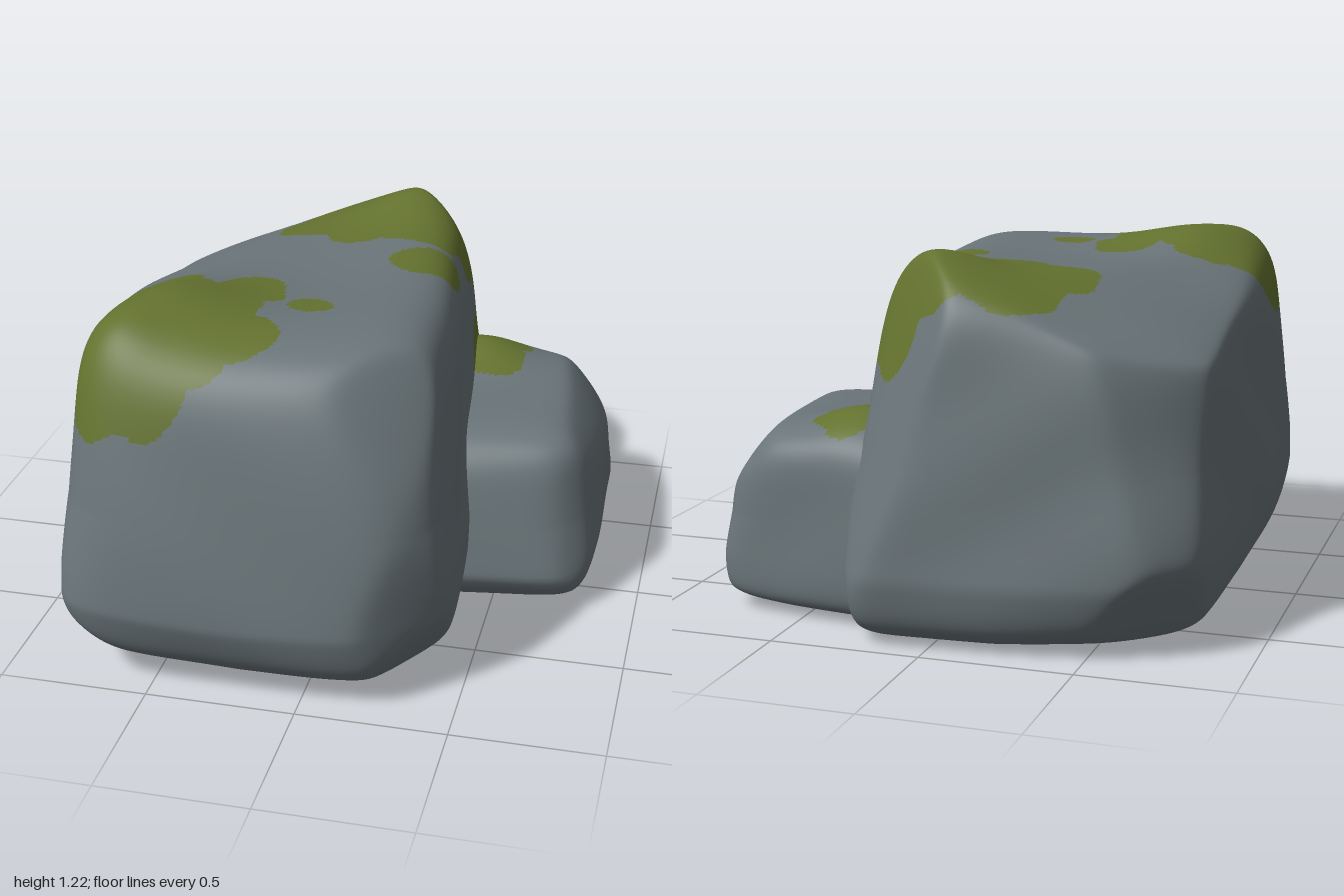
import * as THREE from 'three';
import { mergeVertices } from 'three/addons/utils/BufferGeometryUtils.js';

const stone = new THREE.MeshStandardMaterial({ color: 0x6a7579 });
stone.name = 'stone grey';
const moss = new THREE.MeshStandardMaterial({ color: 0x64722f });
moss.name = 'moss green';

const mix = (a, b, t) => a + (b - a) * t;
const bump = (x, z, cx, cz, r) => Math.exp(-((x - cx) ** 2 + (z - cz) ** 2) / (r * r));

// Moss patches as overlapping spheres: x, y, z, radius
const patches = [
  // front left shoulder
  [-0.6, 1.12, 0.5, 0.3], [-0.64, 1.0, 0.72, 0.21], [-0.52, 1.0, 0.78, 0.17],
  [-0.42, 1.08, 0.7, 0.16], [-0.4, 1.16, 0.45, 0.17], [-0.32, 1.14, 0.27, 0.13],
  [-0.26, 1.11, 0.62, 0.13], [-0.6, 1.14, 0.25, 0.1], [-0.09, 1.14, 0.35, 0.065],
  // back right shoulder
  [0.05, 1.18, -0.64, 0.24], [-0.18, 1.15, -0.66, 0.2], [0.22, 1.02, -0.7, 0.2],
  [0.26, 1.08, -0.52, 0.14], [0, 1.16, -0.48, 0.18], [-0.28, 1.12, -0.44, 0.14],
  [-0.1, 1.14, -0.32, 0.09], [0.14, 1.15, -0.42, 0.14],
  [0.18, 1.14, -0.14, 0.12], [0.28, 1.11, -0.16, 0.1],
  // hollow between the two stones
  [0.37, 0.68, -0.48, 0.13], [0.37, 0.68, -0.62, 0.13],
];

function isMossy(p) {
  const wobble = 0.01 * (Math.sin(p.x * 31 + p.z * 9) + Math.sin(p.z * 27 + p.y * 23));
  return patches.some(([x, y, z, r]) => Math.hypot(p.x - x, p.y - y, p.z - z) + wobble < r);
}

// Rounded block, moved point by point with shape(), then worn down along soft planes
function makeRock(name, segments, roundness, shape, planes) {
  let geo = new THREE.BoxGeometry(2, 2, 2, ...segments);
  geo.deleteAttribute('normal');
  geo.deleteAttribute('uv');
  geo = mergeVertices(geo, 1e-4);
  const pos = geo.attributes.position;
  const p = new THREE.Vector3();
  for (let i = 0; i < pos.count; i++) {
    p.fromBufferAttribute(pos, i);
    // the underside keeps a tighter edge than the top
    const power = p.y < 0 ? roundness * (1 - 0.6 * p.y) : roundness;
    const k = [p.x, p.y, p.z].reduce((sum, v) => sum + Math.abs(v) ** power, 0);
    p.multiplyScalar(k ** (-1 / power));
    shape(p);
    for (const [nx, ny, nz, d] of planes) {
      const n = new THREE.Vector3(nx, ny, nz).normalize();
      const over = p.dot(n) - d;
      p.addScaledVector(n, -0.46 * (over + Math.sqrt(over * over + 0.0008)));
    }
    // gentle weathering
    const wave = 0.007 * Math.sin(p.x * 8 + p.y * 5) * Math.sin(p.z * 7 + p.y * 6 + 1);
    p.x += wave;
    p.z += wave;
    p.y = Math.max(0, p.y);
    pos.setXYZ(i, p.x, p.y, p.z);
  }

  // Sort the faces into stone and moss
  const plain = [], mossy = [];
  const centre = new THREE.Vector3();
  for (let i = 0; i < geo.index.count; i += 3) {
    const face = [0, 1, 2].map((j) => geo.index.getX(i + j));
    centre.set(0, 0, 0);
    face.forEach((v) => centre.add(p.fromBufferAttribute(pos, v)));
    (isMossy(centre.divideScalar(3)) ? mossy : plain).push(...face);
  }
  geo.setIndex(plain.concat(mossy));
  geo.clearGroups();
  geo.addGroup(0, plain.length, 0);
  geo.addGroup(plain.length, mossy.length, 1);
  geo.computeVertexNormals();
  const mesh = new THREE.Mesh(geo, [stone, moss]);
  mesh.name = name;
  return mesh;
}

// Large stone: leans in towards the top, narrower at the back right
function shapeBoulder(p) {
  const u = (p.x + 1) / 2, s = (p.y + 1) / 2, w = (p.z + 1) / 2;
  const lean = Math.max(0, s - 0.3) / 0.7;
  const tilt = Math.max(0, s - 0.18) / 0.82;
  const foot = Math.max(0, 0.2 - s);
  const left = -0.845 + 0.04 * lean + 0.08 * foot;
  const right = mix(0.3, 0.485, w) - 0.08 * lean - 0.12 * foot;
  const back = mix(-0.9, -1.03, u) + 0.12 * tilt + 0.15 * foot;
  const front = 1.015 - 0.21 * tilt ** 1.3 - 0.25 * foot - 0.2 * (u - 0.38) ** 2;
  const x = mix(left, right, u), z = mix(back, front, w);
  const top = 1.125 + 0.045 * u + 0.07 * bump(x, z, -0.55, 0.48, 0.26)
    + 0.05 * bump(x, z, -0.68, 0.7, 0.15)
    + 0.08 * bump(x, z, 0.06, -0.68, 0.22) - 0.02 * bump(x, z, -0.1, 0.05, 0.35);
  const bottom = 0.05 * Math.max(0, z) + 0.05 * Math.max(0, -x - 0.2);
  p.set(x, mix(bottom, top, s), z);
}

// Small stone leaning against the large one
function shapeSideStone(p) {
  const u = (p.x + 1) / 2, s = (p.y + 1) / 2, w = (p.z + 1) / 2;
  const right = 0.84 - 0.05 * Math.max(0, s - 0.3) - 0.1 * Math.max(0, 0.25 - s);
  const back = mix(-0.86, -0.74, u) + 0.03 * s;
  const front = mix(0.31, 0.22, u) - 0.13 * Math.max(0, s - 0.2) - 0.2 * Math.max(0, 0.2 - s);
  const x = mix(0.05, right, u), z = mix(back, front, w);
  const top = 0.625 + 0.06 * bump(x, z, 0.34, -0.56, 0.16);
  p.set(x, mix(0.015, top, s), z);
}

export function createModel() {
  const group = new THREE.Group();
  group.name = 'mossyRocks';
  group.add(
    makeRock('largeStone', [80, 74, 104], 7, shapeBoulder, [
      [0.64, 0, 0.77, 0.88],       // front right edge
      [0.5, 0.5, 0.7, 1.12],       // front right shoulder
      [0.69, -0.58, 0.44, 0.49],   // front right foot
      [-0.59, -0.76, 0.28, 0.56],  // front left foot
      [-0.6, -0.5, -0.6, 0.825],   // back left foot
      [-0.67, 0.25, -0.67, 1.17],  // back left edge
      [-0.4, 0.9, -0.2, 1.225],    // sloping back left top
      [0.65, 0.3, -0.65, 0.885],   // back right edge
    ]),
    makeRock('smallStone', [36, 36, 48], 6, shapeSideStone, [
      [0.75, 0.2, 0.65, 0.73],     // front right edge
      [0.75, 0.6, -0.1, 0.95],     // outer top edge
      [0.6, 0.5, -0.62, 1.12],     // back outer corner
      [0, 0.7, 0.7, 0.51],         // front top edge
      [0.21, -0.98, 0, 0.115],     // outer foot
    ]),
  );
  return group;
}
